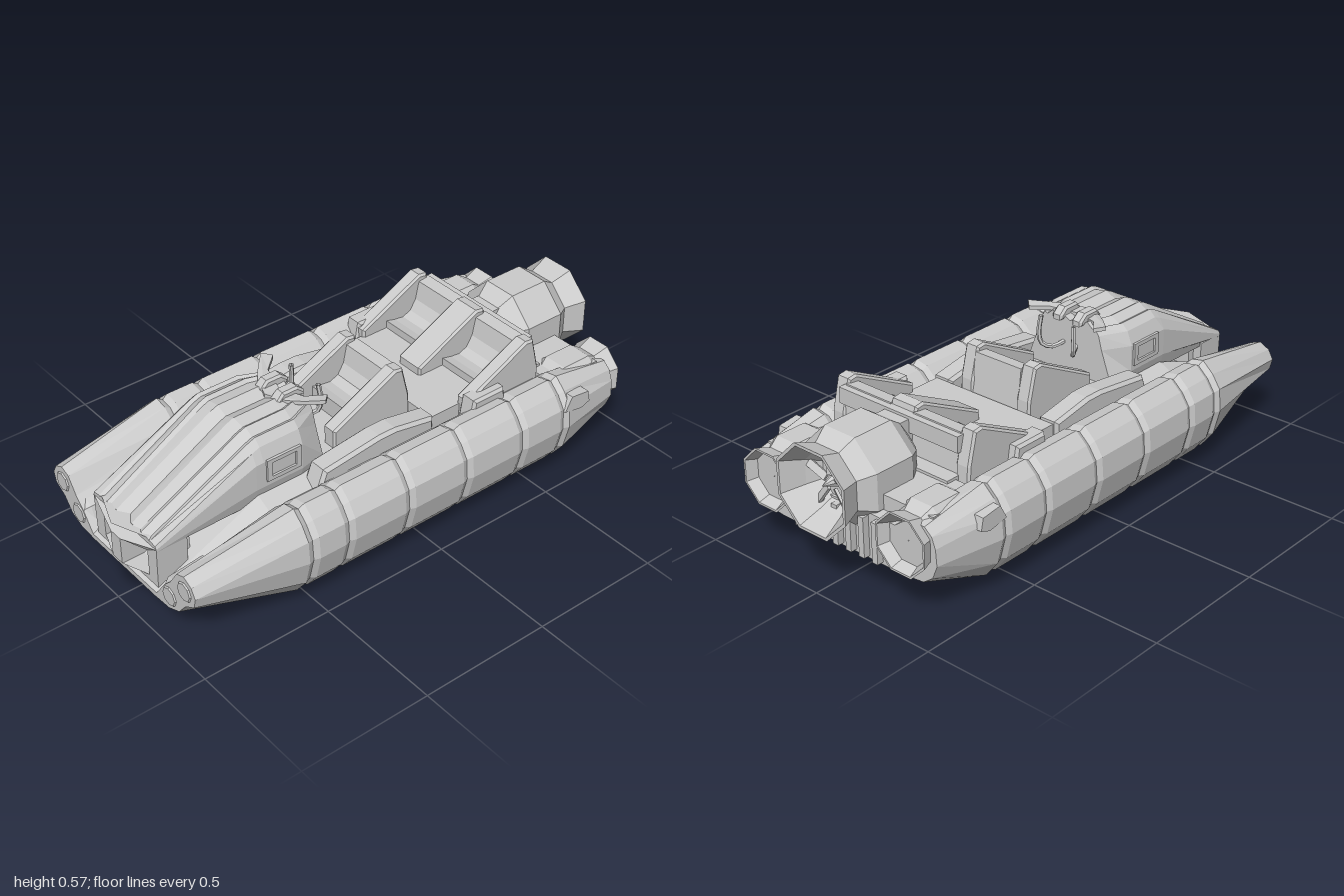
import * as THREE from 'three';

const mat = new THREE.MeshStandardMaterial({ color: 0xcccccc, flatShading: true });
const thin = new THREE.MeshStandardMaterial({ color: 0xcccccc, flatShading: true, side: THREE.DoubleSide });
const lerp = THREE.MathUtils.lerp;

// Skin between closed cross-sections: half outlines run bottom centre -> side -> top centre, bow to stern.
function loft(stations) {
  const rings = stations.map(({ z, half }) => [
    ...half, ...half.slice(1, -1).reverse().map(([x, y]) => [-x, y])].map(([x, y]) => [x, y, z]));
  const n = rings[0].length, pos = rings.flat(2), idx = [];
  for (let i = 0; i < rings.length - 1; i++)
    for (let j = 0; j < n; j++) {
      const a = i * n + j, b = i * n + (j + 1) % n;
      idx.push(a, a + n, b, b, a + n, b + n);
    }
  const cap = (ring) => THREE.ShapeUtils.triangulateShape(ring.map(([x, y]) => new THREE.Vector2(x, y)), []);
  const last = (rings.length - 1) * n;
  cap(rings[0]).forEach(([a, b, c]) => idx.push(a, b, c));
  cap(rings.at(-1)).forEach(([a, b, c]) => idx.push(last + a, last + c, last + b));
  const g = new THREE.BufferGeometry();
  g.setAttribute('position', new THREE.Float32BufferAttribute(pos, 3));
  g.setIndex(idx);
  g.computeVertexNormals();
  return g;
}

const outline = (pts) => new THREE.Shape(pts.map(([x, y]) => new THREE.Vector2(x, y)));

// Side profile of (z, y) points extruded to a width centred on x.
function sideProfile(pts, x, width, bevel = 0) {
  const g = new THREE.ExtrudeGeometry(outline(pts), {
    depth: width - 2 * bevel, bevelEnabled: bevel > 0, bevelSize: bevel, bevelThickness: bevel, bevelOffset: -bevel, bevelSegments: 1 });
  return g.rotateY(-Math.PI / 2).translate(x + width / 2 - bevel, 0, 0);
}

export function createModel() {
  const model = new THREE.Group();
  const add = (name, geo, x = 0, y = 0, z = 0, m = mat, parent = model) => {
    const mesh = new THREE.Mesh(geo, m);
    mesh.name = name;
    mesh.position.set(x, y, z);
    parent.add(mesh);
    return mesh;
  };
  const box = (name, x0, x1, y0, y1, z0, z1) =>
    add(name, new THREE.BoxGeometry(x1 - x0, y1 - y0, z1 - z0), (x0 + x1) / 2, (y0 + y1) / 2, (z0 + z1) / 2);

  // Hull with a pontoon on each side
  const bow = [[0, .11], [.1, .11], [.18, .11], [.26, .115], [.32, .14], [.36, .19], [.41, .22], [.42, .26],
    [.4, .295], [.36, .315], [.32, .3], [.28, .24], [.24, .2], [.19, .13], [0, .13]];
  const mid = [[0, .012], [.1, .015], [.2, .006], [.28, 0], [.4, .055], [.45, .12], [.475, .22], [.468, .305],
    [.435, .355], [.39, .396], [.34, .386], [.29, .34], [.26, .3], [.2, .33], [0, .33]];
  const stern = [[0, .13], [.1, .13], [.2, .13], [.28, .13], [.37, .14], [.41, .17], [.43, .22], [.425, .28],
    [.41, .32], [.38, .345], [.34, .345], [.29, .33], [.25, .3], [.2, .3], [0, .3]];
  const section = (z, inset = 1) => {
    const lift = .05 * THREE.MathUtils.clamp((.36 - Math.abs(z + .01)) / .22, 0, 1);
    return { z, half: mid.map(([x, y], i) => i > 2 && i < 12
      ? [lerp(.34, x, inset), Math.max(lift, lerp(.2, y, inset))] : [x, i < 3 ? Math.max(lift, y) : y]) };
  };
  const stations = [{ z: .965, half: bow }];
  for (const z of [.53, .38, .12, -.14, -.4, -.6])
    stations.push(section(z + .022), section(z, .93), section(z - .022));
  stations.push({ z: -.88, half: stern });
  add('hull', loft(stations));

  // Lengthwise slats in the belly recess
  for (let i = -4; i <= 4; i++) box('bellySlat', i * .06 - .01, i * .06 + .01, .03, .07, -.16, .14);

  // Hood: ridged skin rising to the cockpit
  const hoodBow = [[0, .28], [.17, .28], [.185, .29], [.185, .3], [.18, .312], [.15, .316], [.135, .31], [.1, .322],
    [.085, .315], [.045, .322], [0, .305]];
  const hoodTop = [[0, .3], [.19, .3], [.205, .36], [.205, .46], [.185, .5], [.16, .525], [.145, .518], [.11, .54],
    [.095, .53], [.045, .54], [0, .52]];
  const flat = hoodTop.map(([x, y]) => [x, y > .48 ? y + .012 : y]);
  const narrow = flat.map(([x, y], i) => [x * (i > 2 ? .72 : .9), y]);
  add('hood', loft([{ z: .95, half: hoodBow }, { z: .56, half: hoodTop }, { z: .53, half: flat },
    { z: .37, half: flat }, { z: .27, half: narrow }]));

  // Bow frame with two openings, swept to a point at the centre
  const face = outline([[-.18, .125], [-.13, .11], [0, .11], [.13, .11], [.18, .125], [.185, .3], [.13, .32], [0, .32], [-.13, .32], [-.185, .3]]);
  for (const s of [1, -1])
    face.holes.push(outline([[.028 * s, .16], [.13 * s, .16], [.13 * s, .265], [.028 * s, .265]]));
  const faceGeo = new THREE.ExtrudeGeometry(face, { depth: .12, bevelEnabled: false });
  const fp = faceGeo.attributes.position;
  for (let i = 0; i < fp.count; i++)
    fp.setZ(i, fp.getZ(i) + .05 * Math.max(0, 1 - Math.abs(fp.getX(i)) / .12));
  add('bowFrame', faceGeo, 0, 0, .83);
  box('bowBulkhead', -.15, .15, .13, .3, .8, .84);

  for (const s of [1, -1]) {
    // Twin rounded tips on each pontoon
    for (const [x, y] of [[.36, .253], [.27, .172]]) {
      add('pontoonTip', new THREE.CylinderGeometry(.034, .058, .03, 8).rotateX(Math.PI / 2), s * x, y, .955);
      add('pontoonNose', new THREE.CylinderGeometry(.058, .07, .14, 8).rotateX(Math.PI / 2), s * x, y, .87);
    }
    // Cabin side panel frame
    const frame = outline([[.38, .38], [.52, .38], [.52, .465], [.38, .465]]);
    frame.holes.push(outline([[.4, .395], [.5, .395], [.5, .45], [.4, .45]]));
    add('cabinPanel', new THREE.ExtrudeGeometry(frame, { depth: .012, bevelEnabled: false })
      .rotateY(-Math.PI / 2), s * .207 + .006, 0, 0);
    // Consoles beside the seats
    add('sideConsole', sideProfile([[.37, .3], [.34, .38], [.1, .41], [.03, .41], [-.14, .38], [-.14, .3]], s * .245, .085, .012));
    add('console', sideProfile([[-.25, .3], [-.27, .42], [-.41, .42], [-.43, .3]], s * .315, .07, .01));
    // Rear quarter vent
    add('quarterVent', sideProfile([[-.6, .29], [-.63, .345], [-.71, .335], [-.72, .29], [-.68, .275]], s * .45, .04));
    // Handlebar
    const grip = new THREE.CatmullRomCurve3([[.02, .45, .29], [.05, .43, .23], [.075, .45, .2], [.08, .5, .195], [.075, .555, .2]]
      .map(([x, y, z]) => new THREE.Vector3(s * x, y, z)));
    add('handlebar', new THREE.TubeGeometry(grip, 10, .009, 6), 0, 0, 0, thin);
    add('hoodBump', sideProfile([[.38, .53], [.34, .575], [.28, .575], [.25, .55], [.25, .53]], s * .045, .045, .008));
  }

  // Swept wind deflector above the dash
  const wing = outline([[0, -.37], [.08, -.34], [.13, -.3], [.18, -.25], [.15, -.22], [.1, -.28], [0, -.31],
    [-.1, -.28], [-.15, -.22], [-.18, -.25], [-.13, -.3], [-.08, -.34]]);
  const wingGeo = new THREE.ExtrudeGeometry(wing, { depth: .015, bevelEnabled: false }).rotateX(-Math.PI / 2);
  const wp = wingGeo.attributes.position;
  for (let i = 0; i < wp.count; i++) wp.setY(i, wp.getY(i) + .6 * wp.getX(i) ** 2);
  add('windDeflector', wingGeo, 0, .535, 0, thin);

  // Raised decks
  box('midDeck', -.27, .27, .28, .37, -.66, -.14);
  box('rearDeck', -.38, .38, .25, .36, -.84, -.62);

  // Seats: wedge rails with scooped cushions between them
  const rail = [[.2, .3], [.2, .4], [-.07, .535], [-.105, .53], [-.135, .41], [-.14, .3]];
  const cushion = [[.09, .3], [.09, .4], [.05, .39], [.01, .385], [-.025, .4], [-.05, .44], [-.065, .51], [-.115, .515], [-.14, .3]];
  const shift = (pts, dz) => pts.map(([z, y]) => [z + dz, y]);
  for (const x of [-.13, .13]) add('frontSeatRail', sideProfile(rail, x, .06, .008));
  add('frontSeat', sideProfile(cushion, 0, .21));
  for (const x of [-.285, 0, .285]) add('rearSeatRail', sideProfile(shift(rail, -.47), x, x ? .06 : .115, .008));
  for (const x of [-.157, .157]) add('rearSeat', sideProfile(shift(cushion, -.47), x, .21));
  box('headrestBar', -.27, .27, .45, .51, -.61, -.58);

  // Jet engines: faceted housing, flared hollow nozzle and rotor
  const engine = (name, x, y, z, r, len) => {
    const g = new THREE.Group();
    g.name = name;
    g.position.set(x, y, z);
    const profile = [[0, 1], [.55, .97], [.8, .88], [1.05, .74], [1.05, .34], [.82, .2], [1, 0], [.93, 0], [.7, .2], [.5, .32], [0, .32]]
      .map(([pr, pz]) => new THREE.Vector2(pr * r, -pz * len));
    add('housing', new THREE.LatheGeometry(profile, 8, Math.PI / 8).rotateX(-Math.PI / 2), 0, 0, 0, thin, g);
    add('rotorHub', new THREE.ConeGeometry(r * .2, len * .2, 8).rotateX(-Math.PI / 2), 0, 0, len * .22, mat, g);
    for (let i = 0; i < 5; i++) {
      const a = i * Math.PI * .4 + Math.PI / 2;
      const blade = add('rotorBlade', new THREE.BoxGeometry(r * .5, r * .16, r * .06).rotateX(.5),
        Math.cos(a) * r * .4, Math.sin(a) * r * .4, len * .23, mat, g);
      blade.rotation.z = a;
    }
    model.add(g);
  };
  engine('centreEngine', 0, .375, -1, .168, .4);
  for (const s of [1, -1]) engine('sideEngine', s * .31, .268, -.92, .115, .3);
  box('engineStrut', -.055, .055, .36, .5, -.72, -.56);

  // Transom ribs
  for (let i = -3; i <= 3; i++) box('transomRib', i * .06 - .012, i * .06 + .012, .14, .29, -.905, -.87);
  return model;
}
